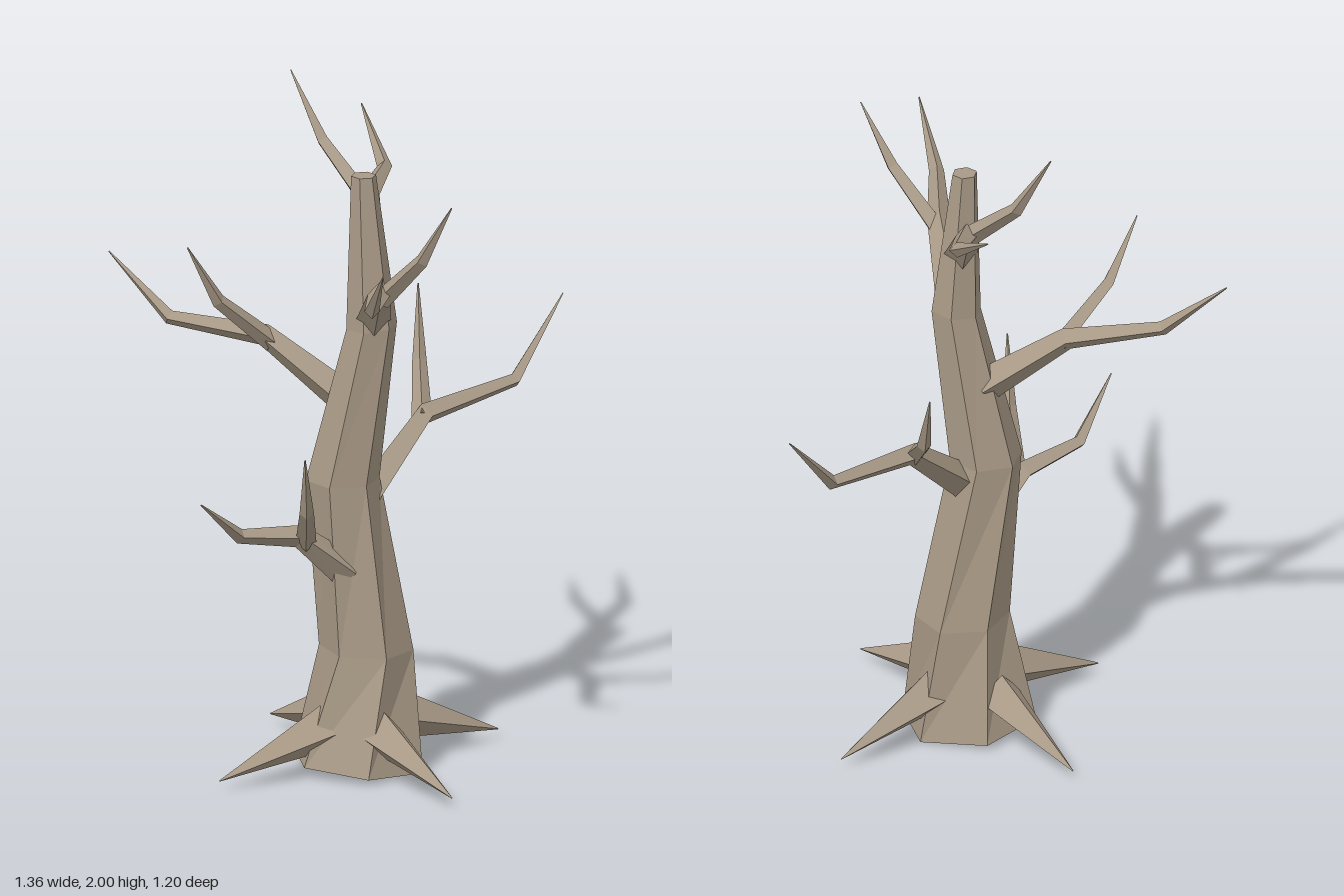
import * as THREE from 'three';

const bark = new THREE.MeshStandardMaterial({ color: 0xa99a87, flatShading: true });
bark.name = 'bark';

// Joins equal-sized rings of points into a closed, faceted skin.
function skin(name, rings) {
  const n = rings[0].length, pos = [];
  const tri = (a, b, c) => pos.push(...a.toArray(), ...b.toArray(), ...c.toArray());
  for (let i = 0; i < rings.length - 1; i++) {
    for (let j = 0; j < n; j++) {
      const k = (j + 1) % n, a = rings[i], b = rings[i + 1];
      tri(a[j], b[k], b[j]);
      tri(a[j], a[k], b[k]);
    }
  }
  const first = rings[0], last = rings[rings.length - 1];
  for (let j = 1; j < n - 1; j++) {
    tri(first[0], first[j + 1], first[j]);
    tri(last[0], last[j], last[j + 1]);
  }
  const geo = new THREE.BufferGeometry();
  geo.setAttribute('position', new THREE.Float32BufferAttribute(pos, 3));
  geo.computeVertexNormals();
  const mesh = new THREE.Mesh(geo, bark);
  mesh.name = name;
  return mesh;
}

// Four-sided tapering limb with a ridge on top, following a bent path.
function limb(name, path, radii) {
  const pts = path.map(p => new THREE.Vector3(...p));
  const up = new THREE.Vector3(0, 1, 0);
  const flat = pts[pts.length - 1].clone().sub(pts[0]).setY(0).normalize();
  const side = new THREE.Vector3().crossVectors(flat, up);
  const rings = pts.map((p, i) => {
    const before = pts[Math.max(i - 1, 0)], after = pts[Math.min(i + 1, pts.length - 1)];
    const dir = after.clone().sub(before).normalize();
    const s = side.clone().addScaledVector(dir, -side.dot(dir)).normalize();
    const u = new THREE.Vector3().crossVectors(s, dir);
    return [0, 1, 2, 3].map(k => p.clone()
      .addScaledVector(s, radii[i] * Math.cos(k * Math.PI / 2))
      .addScaledVector(u, radii[i] * Math.sin(k * Math.PI / 2)));
  });
  // s, u and the path direction: s x u points back along the path, so reverse the order
  return skin(name, rings.map(ring => ring.reverse()));
}

export function createModel() {
  const tree = new THREE.Group();
  tree.name = 'bareTree';

  // Trunk: x, y, z, radius, twist in degrees, tilt
  const trunk = [
    [-0.025, 0.02, -0.07, 0.2, 34, -0.09],
    [0, 0.36, -0.08, 0.137, 17, -0.04],
    [-0.067, 0.87, -0.092, 0.108, 3, 0],
    [0.01, 1.34, -0.053, 0.075, 0, 0.1],
    [-0.01, 1.79, -0.07, 0.037, 0, 0],
  ];
  tree.add(skin('trunk', trunk.map(([x, y, z, r, twist, tilt]) =>
    Array.from({ length: 6 }, (_, k) => {
      const a = THREE.MathUtils.degToRad(twist - k * 60);
      const dx = r * Math.cos(a);
      return new THREE.Vector3(x + dx, y + tilt * dx, z + r * Math.sin(a));
    }))));

  // Branches, each with one side twig
  const branches = [
    { name: 'leftBranch',
      main: [[0.0, 0.8, -0.1], [0.21, 1.0, -0.25], [0.51, 1.035, -0.405], [0.68, 1.25, -0.525]],
      twig: [[0.2, 0.99, -0.24], [0.23, 1.11, -0.41], [0.25, 1.31, -0.52]] },
    { name: 'rightBranch',
      main: [[-0.06, 1.11, -0.11], [-0.27, 1.28, -0.22], [-0.53, 1.32, -0.32], [-0.68, 1.49, -0.45]],
      twig: [[-0.25, 1.26, -0.21], [-0.42, 1.41, -0.16], [-0.52, 1.59, -0.12]] },
    { name: 'lowRightBranch',
      main: [[-0.07, 0.61, -0.03], [-0.22, 0.74, 0.02], [-0.41, 0.77, 0.08], [-0.55, 0.91, 0.2]],
      twig: [[-0.2, 0.72, 0.02], [-0.235, 0.86, 0.19], [-0.26, 1.05, 0.28]] },
    { name: 'frontBranch',
      main: [[0.01, 1.36, -0.03], [-0.02, 1.51, 0.19], [-0.095, 1.535, 0.43], [-0.1, 1.69, 0.6]],
      twig: [[-0.01, 1.49, 0.18], [0.08, 1.64, 0.31], [0.15, 1.82, 0.39]] },
    { name: 'backBranch',
      main: [[0, 1.52, -0.06], [0.04, 1.68, -0.24], [0.12, 1.715, -0.38], [0.1, 1.84, -0.6]],
      twig: [[0.03, 1.67, -0.23], [-0.065, 1.81, -0.37], [-0.14, 2.0, -0.46]] },
  ];
  for (const { name, main, twig } of branches) {
    tree.add(limb(name, main, [0.052, 0.034, 0.022, 0.002]));
    tree.add(limb(name + 'Twig', twig, [0.03, 0.021, 0.002]));
  }

  // Roots: thick at the trunk, pointed at the ground
  const roots = [
    ['frontRoot', [0.01, 0.14, 0.04], [0.15, 0.035, 0.39]],
    ['leftRoot', [0.1, 0.14, -0.11], [0.425, 0.035, -0.24]],
    ['backRoot', [-0.07, 0.14, -0.19], [-0.185, 0.035, -0.525]],
    ['rightRoot', [-0.13, 0.14, -0.03], [-0.47, 0.035, 0.085]],
  ];
  for (const [name, base, tip] of roots) {
    tree.add(limb(name, [base, tip], [0.072, 0.002]));
  }
  return tree;
}
